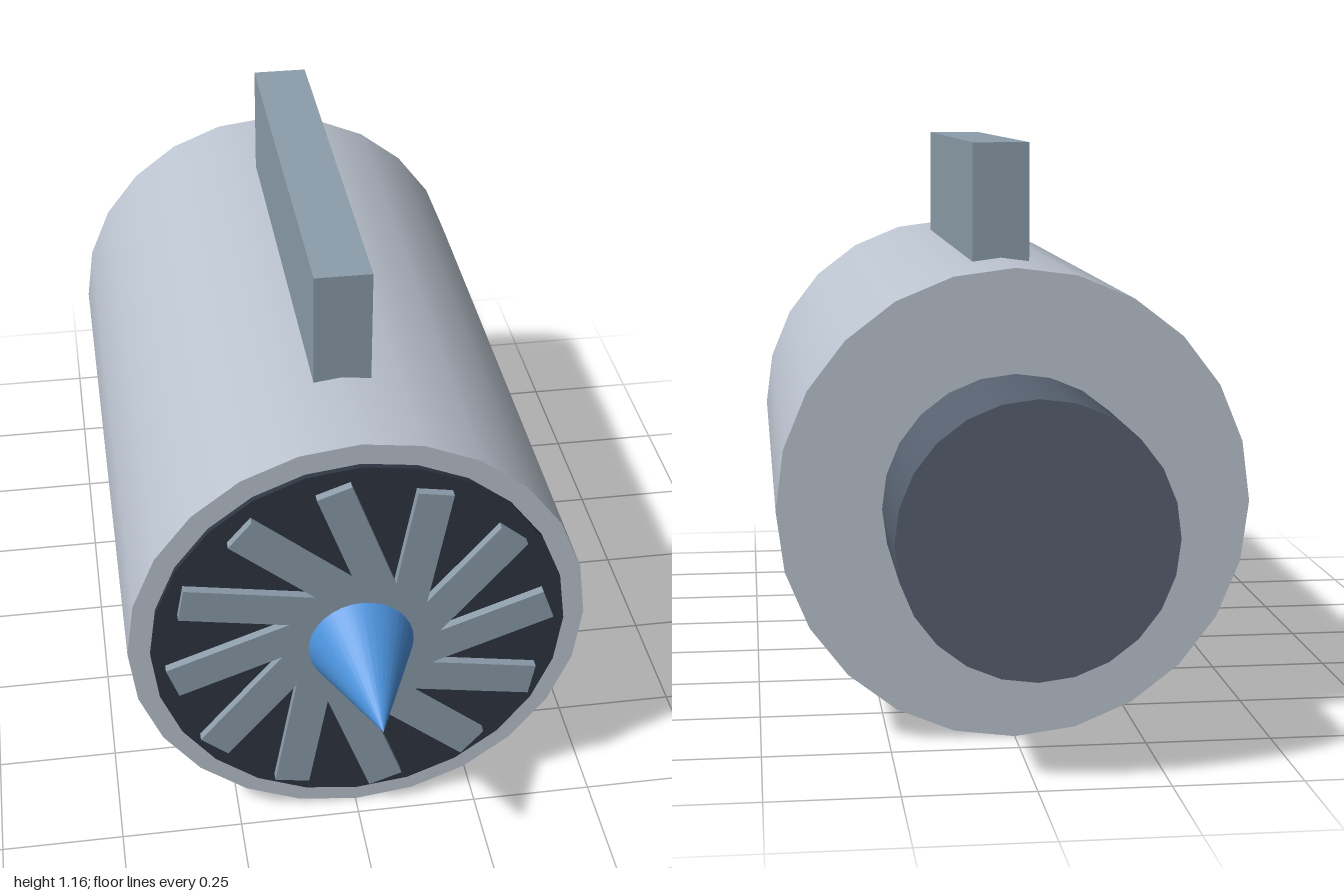
import * as THREE from 'three';

const AXIS_Y = 0.465; // height of the engine centreline

const mat = (name, color) => {
  const m = new THREE.MeshStandardMaterial({ color });
  m.name = name;
  return m;
};

export function createModel() {
  const casingGrey = mat('casing grey', 0xbcc4d0);
  const steelGrey = mat('steel grey', 0x8c9daa);
  const exhaustGrey = mat('exhaust grey', 0x576170);
  const intakeDark = mat('intake dark', 0x2d3542);
  const spinnerBlue = mat('spinner blue', 0x4a90d9);

  const engine = new THREE.Group();
  engine.name = 'jetEngine';

  const add = (parent, name, geometry, material) => {
    const mesh = new THREE.Mesh(geometry, material);
    mesh.name = name;
    parent.add(mesh);
    return mesh;
  };

  // Round part along z, from the back end to the front end
  const barrel = (name, rFront, rBack, zBack, zFront, sides, material) => {
    const g = new THREE.CylinderGeometry(rFront, rBack, zFront - zBack, sides);
    g.rotateX(Math.PI / 2);
    add(engine, name, g, material).position.set(0, AXIS_Y, (zBack + zFront) / 2);
  };

  barrel('casing', 0.465, 0.465, -0.68, 0.71, 24, casingGrey);
  barrel('exhaust', 0.26, 0.26, -1, -0.68, 24, exhaustGrey);
  barrel('intakeDisc', 0.42, 0.42, 0.705, 0.722, 24, intakeDark);
  barrel('spinner', 0, 0.116, 0.722, 1, 32, spinnerBlue);

  // Fan of twelve slanted blades
  const fan = new THREE.Group();
  fan.name = 'fan';
  fan.position.set(0, AXIS_Y, 0.736);
  const bladeGeometry = new THREE.BoxGeometry(0.072, 0.332, 0.018);
  bladeGeometry.rotateZ(0.35).translate(0, 0.224, 0);
  for (let i = 0; i < 12; i++) {
    add(fan, 'fanBlade', bladeGeometry, steelGrey).rotation.z = (i * Math.PI) / 6;
  }
  engine.add(fan);

  // Mounting pylon on top
  add(engine, 'pylon', new THREE.BoxGeometry(0.116, 0.26, 0.926), steelGrey)
    .position.set(0, 1.032, 0.016);

  return engine;
}
